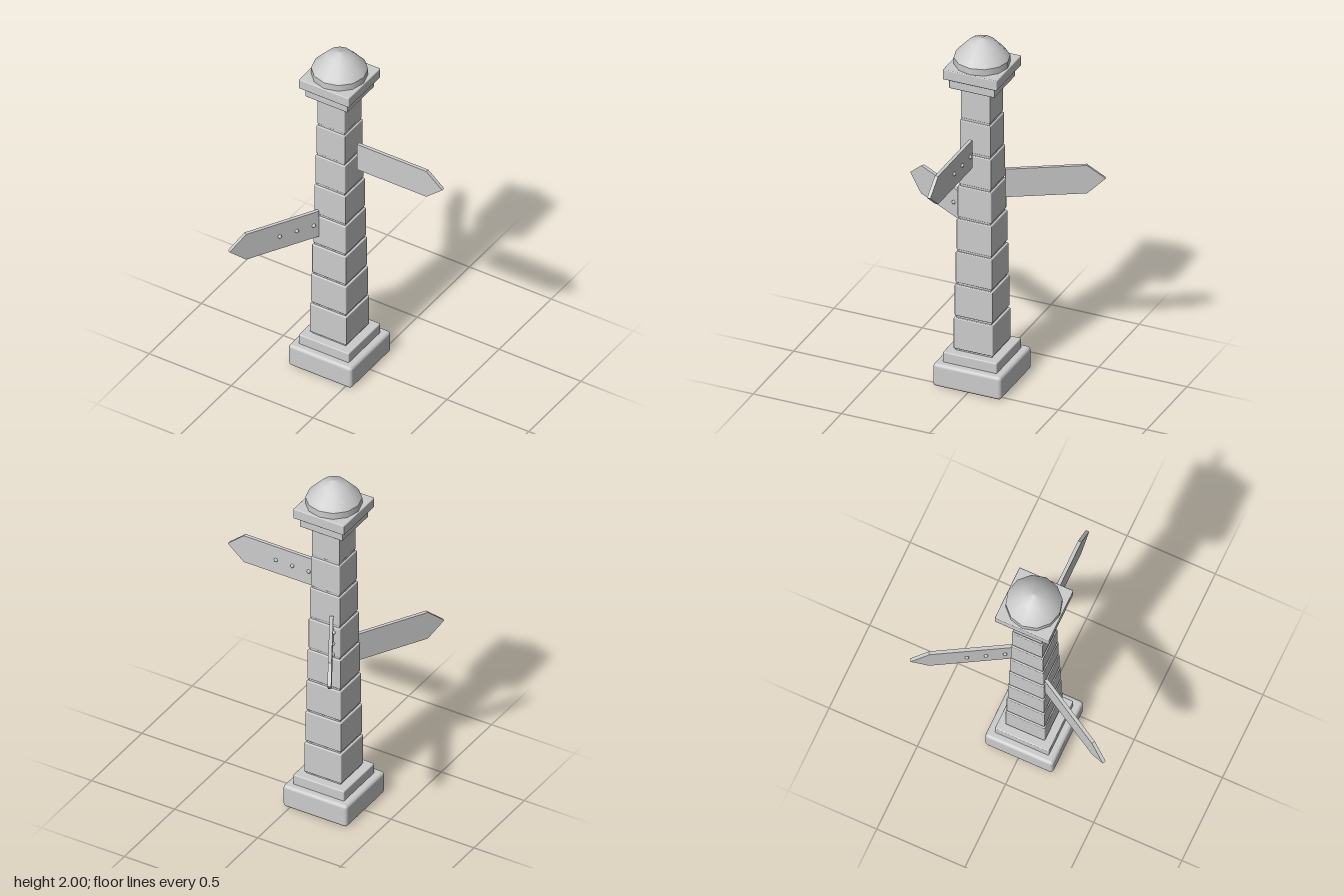
import * as THREE from 'three';
import { RoundedBoxGeometry } from 'three/addons/geometries/RoundedBoxGeometry.js';

export function createModel() {
  const model = new THREE.Group();
  model.name = 'signpost';
  // Everything is placed around the pillar axis
  model.position.set(-0.154, 0, 0.003);

  const stone = new THREE.MeshStandardMaterial({ color: 0xcccccc });
  stone.name = 'pale grey stone';

  const add = (parent, name, geometry, x = 0, y = 0, z = 0) => {
    const mesh = new THREE.Mesh(geometry, stone);
    mesh.name = name;
    mesh.position.set(x, y, z);
    parent.add(mesh);
    return mesh;
  };

  // Square slab with softened edges, standing between two heights
  const slab = (name, width, bottom, top, bevel) =>
    add(model, name, new RoundedBoxGeometry(width, top - bottom, width, 2, bevel), 0, (bottom + top) / 2);

  // Stepped base
  slab('base', 0.386, 0, 0.132, 0.018);
  slab('plinth', 0.306, 0.128, 0.19, 0.006);

  // Tapering column of eight blocks around a recessed core
  for (let i = 0; i < 8; i++) {
    const bottom = 0.2 + i * 0.193;
    slab('columnBlock' + (i + 1), 0.223 - i * 0.008, bottom, bottom + 0.181, 0.005);
  }
  const core = add(model, 'columnCore', new THREE.CylinderGeometry(0.107, 0.146, 1.56, 4, 1, false, Math.PI / 4), 0, 0.965);
  core.geometry = core.geometry.toNonIndexed();
  core.geometry.computeVertexNormals();

  // Stepped capital
  slab('capitalLower', 0.258, 1.738, 1.797, 0.005);
  slab('capitalUpper', 0.306, 1.796, 1.855, 0.005);

  // Twelve-sided dome on a short drum
  add(model, 'domeDrum', new THREE.CylinderGeometry(0.147, 0.147, 0.038, 12), 0, 1.873);
  const profile = [[0.147, 1.892], [0.132, 1.912], [0.068, 1.98], [0, 2]].map(([r, y]) => new THREE.Vector2(r, y));
  add(model, 'dome', new THREE.LatheGeometry(profile, 12));

  // Pointed sign board, lying along local +x
  const outline = new THREE.Shape([
    [0.119, -0.082], [0.542, -0.082], [0.639, 0], [0.542, 0.082], [0.119, 0.082],
  ].map(([x, y]) => new THREE.Vector2(x, y)));
  const board = new THREE.ExtrudeGeometry(outline, { depth: 0.019, bevelEnabled: false });
  const bolt = new THREE.SphereGeometry(0.011, 8, 6);

  [[1.374, 0], [1.147, 1], [0.919, -1]].forEach(([height, turn], i) => {
    const sign = new THREE.Group();
    sign.name = 'sign' + (i + 1);
    sign.position.y = height;
    sign.rotation.y = turn * 2 * Math.PI / 3;
    add(sign, 'board', board);
    // Three bolts along the reverse face
    for (const x of [0.15, 0.249, 0.348]) add(sign, 'bolt', bolt, x, 0, -0.002);
    model.add(sign);
  });

  const root = new THREE.Group();
  root.name = 'stoneSignpost';
  root.add(model);
  return root;
}
